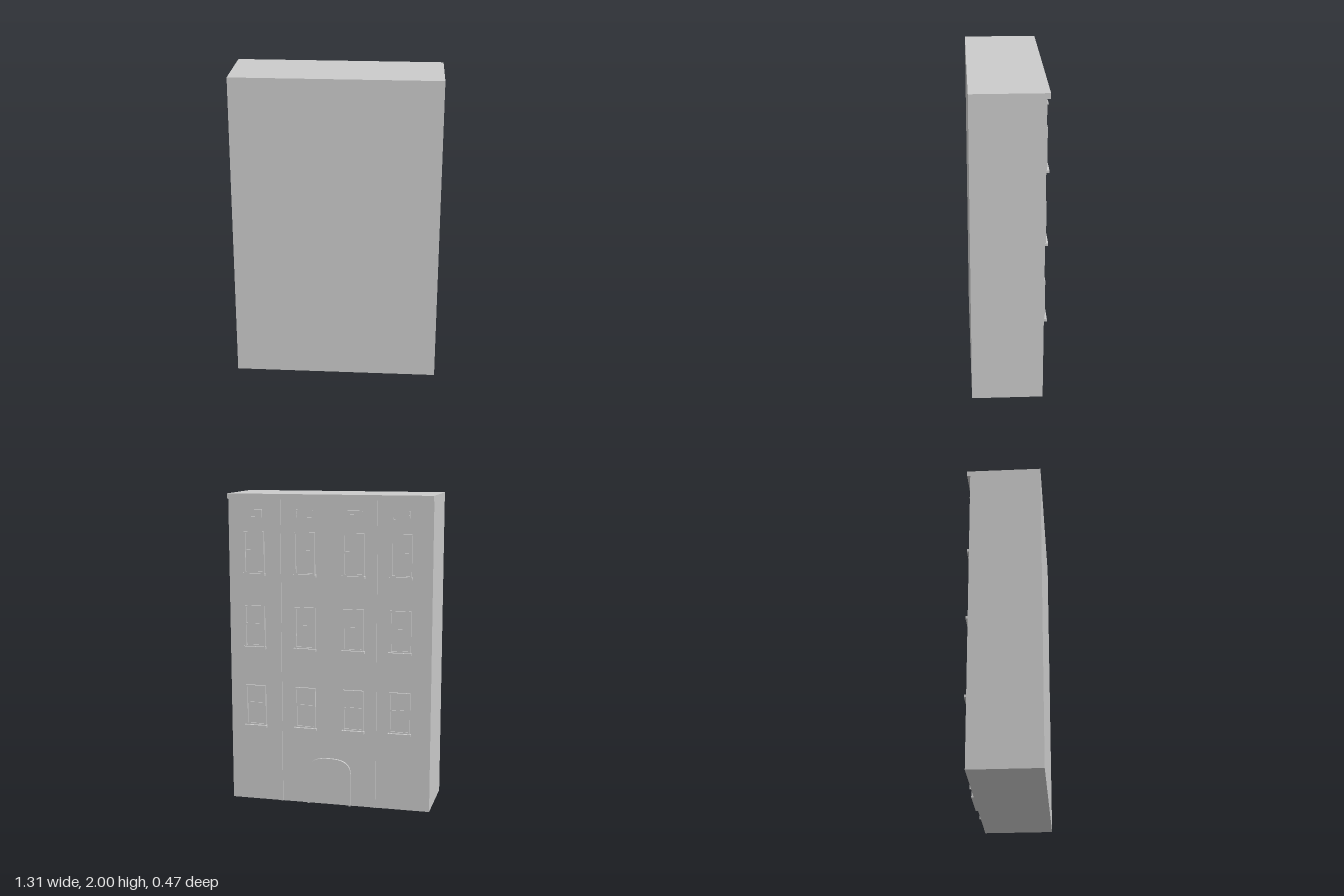
import * as THREE from 'three';

const WALL = -0.21; // z of the detailed wall, which faces -z

export function createModel() {
  const root = new THREE.Group();
  const mat = new THREE.MeshStandardMaterial({ color: 0xcccccc, flatShading: true });

  // Box given by its limits on each axis
  function box(parent, name, x0, x1, y0, y1, z0, z1) {
    const mesh = new THREE.Mesh(new THREE.BoxGeometry(x1 - x0, y1 - y0, z1 - z0), mat);
    mesh.position.set((x0 + x1) / 2, (y0 + y1) / 2, (z0 + z1) / 2);
    mesh.name = name;
    parent.add(mesh);
  }

  // Detail attached to the wall, sticking out to z = -out
  const detail = (parent, name, x0, x1, y0, y1, out) =>
    box(parent, name, x0, x1, y0, y1, -out, WALL + 0.002);

  // Main block and cornice
  box(root, 'building', -0.655, 0.655, 0, 2, WALL, 0.237);
  detail(root, 'cornice', -0.655, 0.655, 1.967, 2, 0.23);

  // Vertical drainpipes
  for (const x of [0.318, -0.302]) detail(root, 'drainpipe', x - 0.006, x + 0.006, 0, 1.967, 0.219);

  // Sash window: frame, two sashes with a meeting rail, and a sill
  function makeWindow(x, y) {
    const g = new THREE.Group();
    g.name = 'window';
    const w = 0.067, t = 0.011, h = 0.265;
    for (const s of [-1, 1]) {
      const a = s * w, b = s * (w - t);
      detail(g, 'frameSide', Math.min(a, b), Math.max(a, b), 0, h, 0.224);
    }
    detail(g, 'frameTop', -w + t, w - t, h - t, h, 0.224);
    detail(g, 'frameBottom', -w + t, w - t, 0, t, 0.22);
    detail(g, 'meetingRail', -w + t, w - t, 0.142, 0.152, 0.22);
    detail(g, 'upperSash', -w + t, w - t, 0.152, h - t, 0.214);
    detail(g, 'lowerSash', -w + t, w - t, t, 0.142, 0.212);
    detail(g, 'sill', -0.074, 0.074, -0.014, 0.002, 0.237);
    g.position.set(x, y, 0);
    root.add(g);
  }

  // Small vent with a thin hood and slats
  function makeVent(x) {
    const g = new THREE.Group();
    g.name = 'vent';
    detail(g, 'hood', -0.054, 0.054, 1.897, 1.903, 0.228);
    for (const y of [1.873, 1.85]) detail(g, 'slat', -0.05, 0.05, y, y + 0.005, 0.216);
    for (const s of [-0.052, 0.052]) detail(g, 'ventSide', s - 0.002, s + 0.002, 1.85, 1.897, 0.215);
    g.position.x = x;
    root.add(g);
  }

  for (const x of [-0.458, -0.158, 0.156, 0.488]) {
    for (const y of [0.505, 1.025, 1.498]) makeWindow(x, y);
    makeVent(x);
  }

  // Arched doorway trim
  function arch(shape, r, top) {
    shape.moveTo(-r, 0);
    shape.lineTo(-r, 0.21);
    shape.bezierCurveTo(-r, top - 0.02, -r * 0.6, top, 0, top);
    shape.bezierCurveTo(r * 0.6, top, r, top - 0.02, r, 0.21);
    shape.lineTo(r, 0);
    shape.closePath();
    return shape;
  }
  const trim = arch(new THREE.Shape(), 0.143, 0.31);
  trim.holes.push(arch(new THREE.Path(), 0.131, 0.298));
  const geo = new THREE.ExtrudeGeometry(trim, { depth: 0.017, bevelEnabled: false, curveSegments: 12 });
  const door = new THREE.Mesh(geo, mat);
  door.name = 'doorTrim';
  door.position.z = -0.225;
  root.add(door);

  return root;
}
